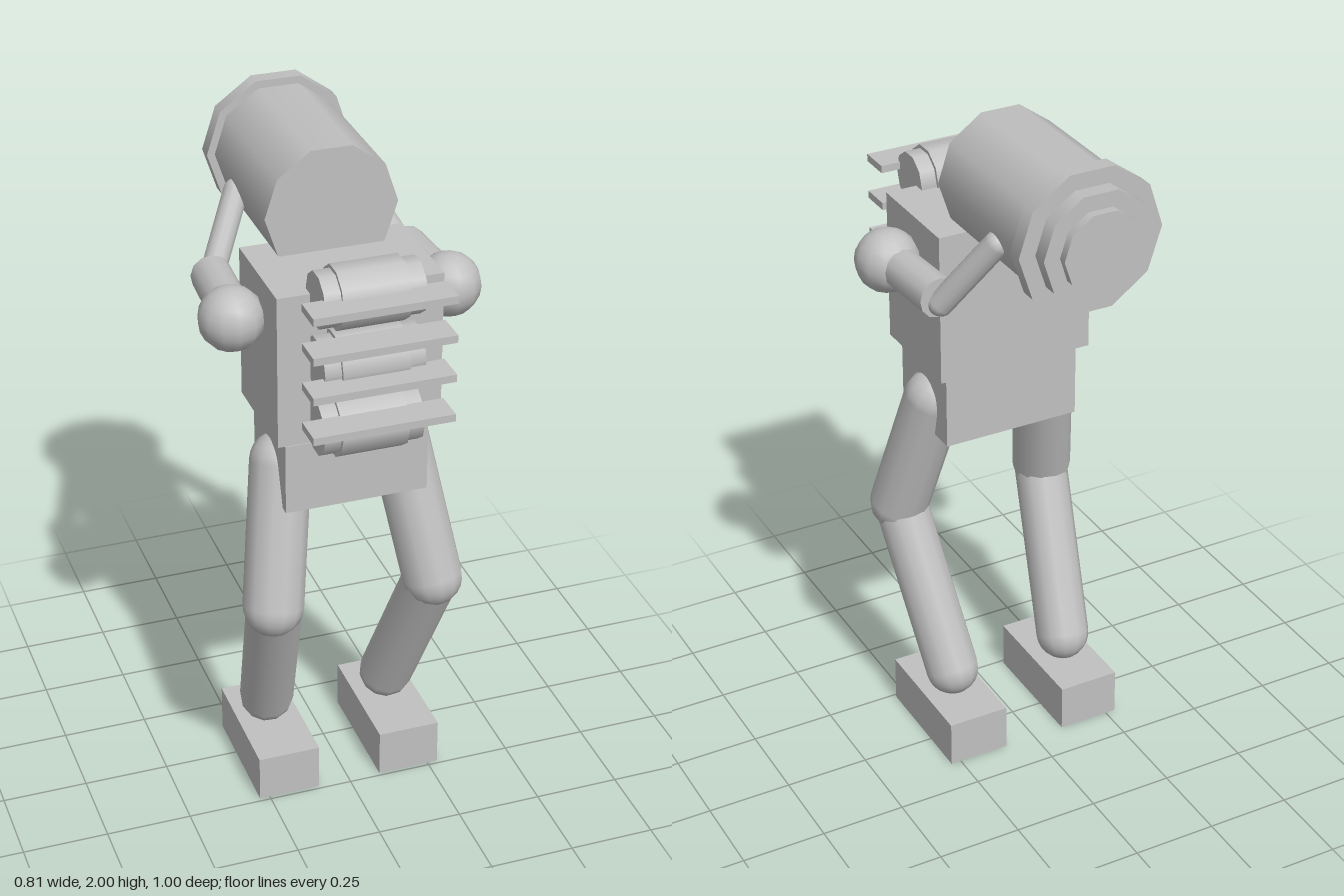
import * as THREE from 'three';

export function createModel() {
  const model = new THREE.Group();
  const grey = new THREE.MeshStandardMaterial({ color: 0xc0c0c0 });
  grey.name = 'grey';

  function add(name, geometry, x = 0, y = 0, z = 0) {
    const mesh = new THREE.Mesh(geometry, grey);
    mesh.name = name;
    mesh.position.set(x, y, z);
    model.add(mesh);
    return mesh;
  }
  const box = (name, w, h, d, x, y, z) => add(name, new THREE.BoxGeometry(w, h, d), x, y, z);

  // Limb running between two joints, with round or flat ends
  function limb(name, a, b, r, round = true) {
    const from = new THREE.Vector3(...a), to = new THREE.Vector3(...b);
    const dir = to.clone().sub(from), length = dir.length();
    const geometry = round
      ? new THREE.CapsuleGeometry(r, length, 6, 12)
      : new THREE.CylinderGeometry(r, r, length, 12);
    const mesh = add(name, geometry);
    mesh.position.copy(from).add(to).multiplyScalar(0.5);
    mesh.quaternion.setFromUnitVectors(new THREE.Vector3(0, 1, 0), dir.normalize());
  }

  // Body
  box('torso', 0.47, 0.45, 0.325, 0, 1.46, 0.143);
  box('pelvis', 0.415, 0.21, 0.28, 0, 1.115, 0.145);

  // Barrel head with stepped rear cap: radius, front z, back z
  [['head', 0.19, 0.07, -0.385], ['headFlange', 0.213, -0.383, -0.43],
    ['headStep', 0.165, -0.43, -0.475], ['headCap', 0.118, -0.475, -0.5]].forEach(([name, r, z0, z1]) => {
    const geometry = new THREE.CylinderGeometry(r, r, z0 - z1, 10, 1, false, Math.PI / 2).rotateX(Math.PI / 2);
    add(name, geometry, 0, 1.8, (z0 + z1) / 2);
  });

  // Chest rollers: wide core inside a thicker sleeve
  for (const y of [1.688, 1.497, 1.305]) {
    for (const [name, r, w] of [['rollerCore', 0.079, 0.284], ['rollerSleeve', 0.09, 0.19]]) {
      add(name, new THREE.CylinderGeometry(r, r, w, 10).rotateZ(Math.PI / 2), 0, y, 0.348);
    }
  }

  // Chest slats
  for (const y of [1.705, 1.59, 1.473, 1.353]) box('chestSlat', 0.4, 0.022, 0.093, 0, y, 0.4535);

  // Arms and legs on both sides
  for (const [side, s] of [['left', 1], ['right', -1]]) {
    add(side + 'Shoulder', new THREE.SphereGeometry(0.092, 12, 10), s * 0.312, 1.565, 0.147);
    limb(side + 'UpperArm', [s * 0.302, 1.565, 0.13], [s * 0.287, 1.565, -0.12], 0.058, false);
    limb(side + 'Forearm', [s * 0.285, 1.55, -0.125], [s * 0.175, 1.75, -0.237], 0.036);
    limb(side + 'Thigh', [s * 0.177, 1.093, 0.145], [s * 0.24, 0.695, 0.262], 0.088);
    limb(side + 'Shin', [s * 0.236, 0.68, 0.257], [s * 0.19, 0.217, 0.03], 0.08);
    box(side + 'Foot', 0.185, 0.142, 0.378, s * 0.188, 0.071, 0.05);
  }

  return model;
}
